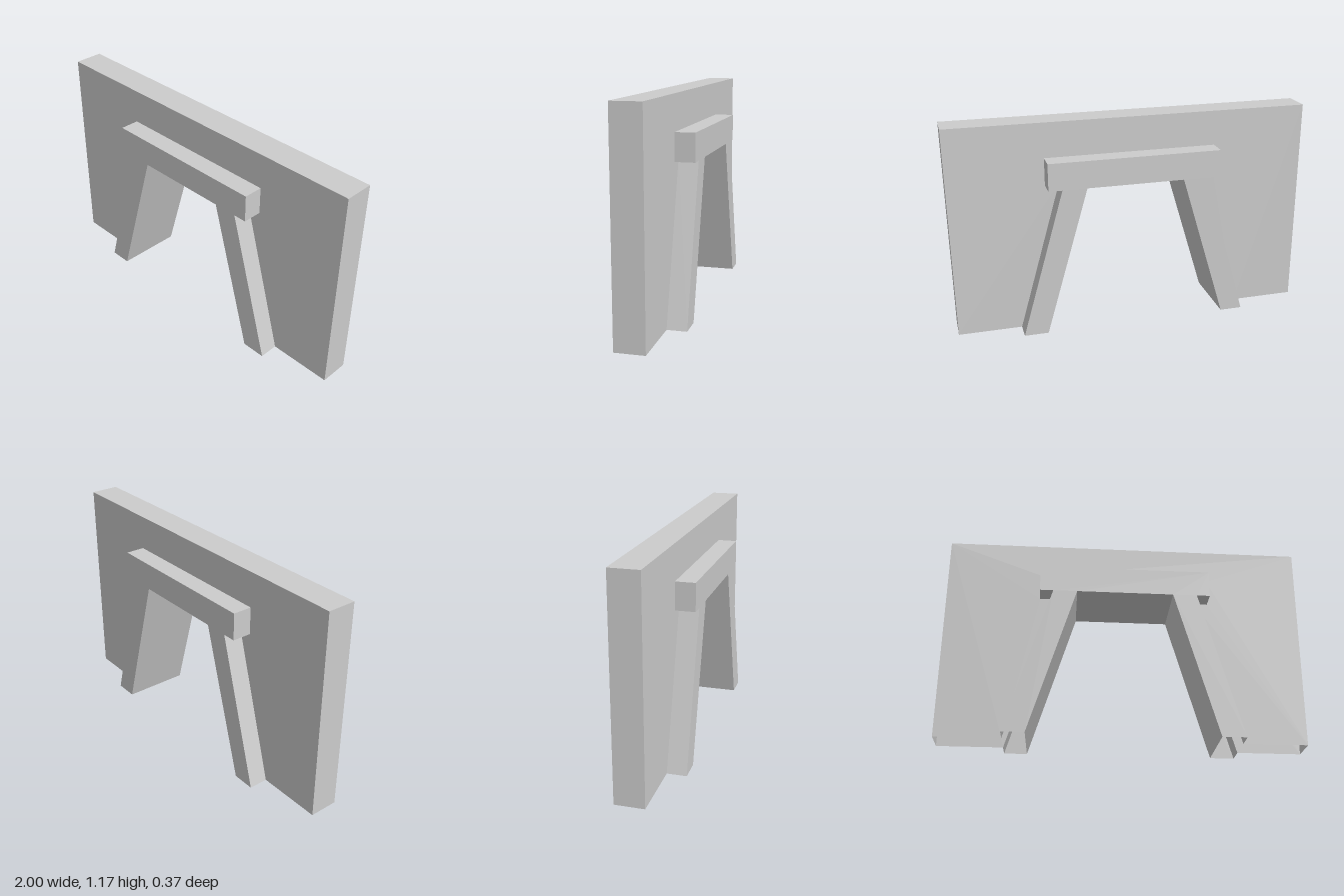
import * as THREE from 'three';

const WALL_Z = 0.08, FRAME_Z = 0.187;

// Profiles in x, y; each runs counter-clockwise and stays open at the ground
const wallEdge = [[0.988, 0], [1, 1.174], [-1, 1.174], [-1, 0]];
const frameEdge = [
  [0.637, 0], [0.402, 0.83], [0.476, 0.83], [0.476, 0.981],
  [-0.476, 0.981], [-0.476, 0.83], [-0.402, 0.83], [-0.643, 0],
];
const openingEdge = [[-0.518, 0], [-0.269, 0.83], [0.268, 0.83], [0.504, 0]];

// Sweeps an open profile along z, without caps
function band(points, z0, z1) {
  const pos = [];
  for (let i = 0; i < points.length - 1; i++) {
    const [ax, ay] = points[i], [bx, by] = points[i + 1];
    pos.push(ax, ay, z0, bx, by, z0, bx, by, z1);
    pos.push(ax, ay, z0, bx, by, z1, ax, ay, z1);
  }
  const g = new THREE.BufferGeometry();
  g.setAttribute('position', new THREE.Float32BufferAttribute(pos, 3));
  g.computeVertexNormals();
  return g;
}

// Flat panel facing +z, or -z when z is negative
function panel(points, z) {
  const g = new THREE.ShapeGeometry(new THREE.Shape(points.map(([x, y]) => new THREE.Vector2(x, y))));
  g.translate(0, 0, z);
  if (z < 0) {
    g.setIndex(Array.from(g.index.array).reverse());
    g.computeVertexNormals();
  }
  return g;
}

export function createModel() {
  const group = new THREE.Group();
  const material = new THREE.MeshStandardMaterial({ color: 0xcccccc, flatShading: true, side: THREE.DoubleSide });
  const add = (name, geometry) => {
    const mesh = new THREE.Mesh(geometry, material);
    mesh.name = name;
    group.add(mesh);
  };

  // Hollow shell, open underneath: wall ends and top, and the lining of the doorway
  add('wallEdges', band(wallEdge, -WALL_Z, WALL_Z));
  add('doorwayLining', band(openingEdge, -FRAME_Z, FRAME_Z));

  // Front and back: wall face around a raised frame
  const wallFace = [...wallEdge, ...[...frameEdge].reverse()];
  const frameFace = [...frameEdge, ...openingEdge];
  for (const [side, s] of [['front', 1], ['back', -1]]) {
    add(side + 'WallFace', panel(wallFace, s * WALL_Z));
    add(side + 'FrameFace', panel(frameFace, s * FRAME_Z));
    add(side + 'FrameEdges', s > 0 ? band(frameEdge, WALL_Z, FRAME_Z) : band(frameEdge, -FRAME_Z, -WALL_Z));
  }
  return group;
}
